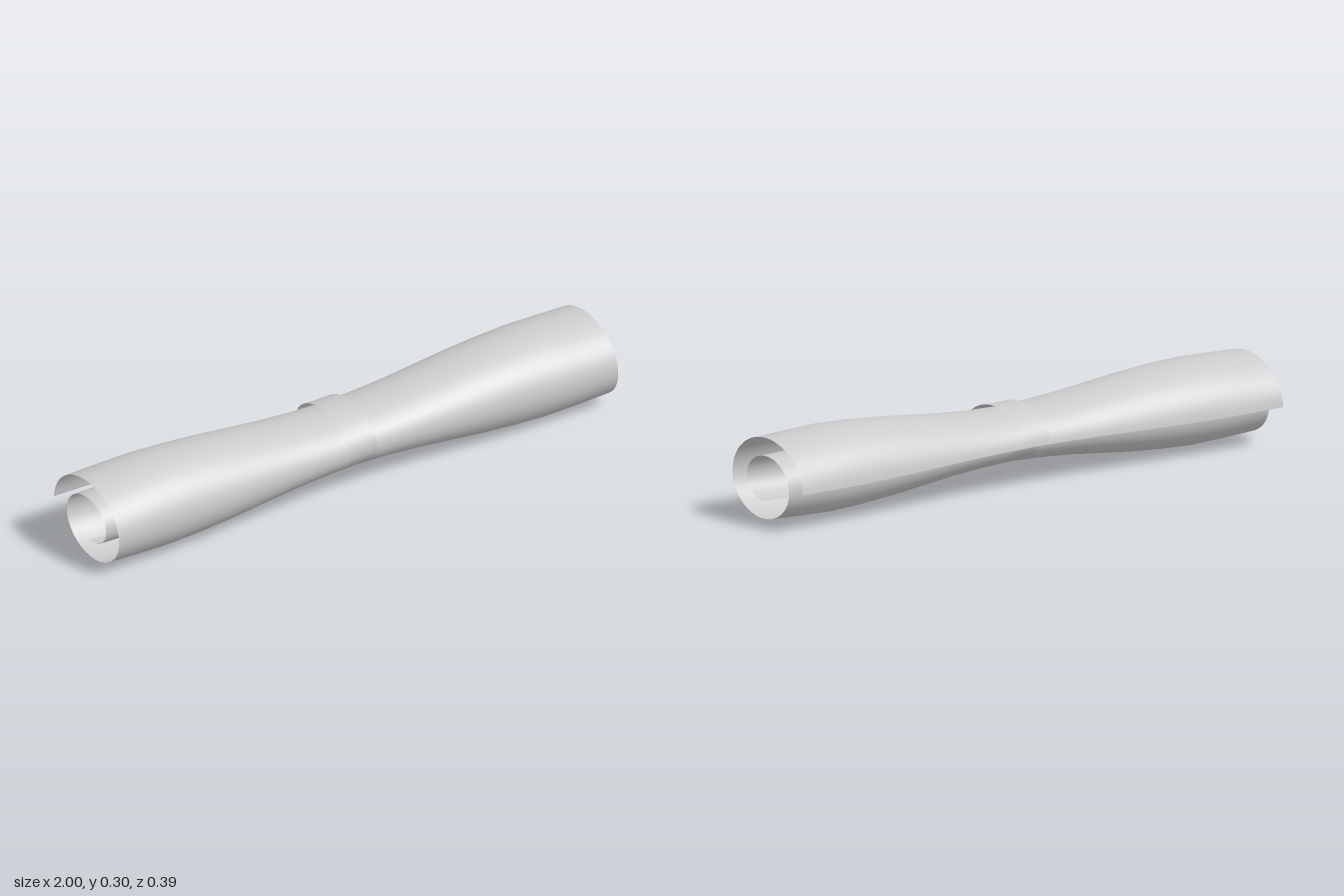
import * as THREE from 'three';

const TURNS = 1.75, AROUND = 84;
const CENTRE_Z = 0.02, CENTRE_Y = 0.135, MID_Z = 0.023, MID_Y = 0.1535;

// Archimedean spiral cross-section, from the loose outer flap to the inner end
function spiral(u) {
  const a = u * TURNS * Math.PI * 2;
  const r = THREE.MathUtils.lerp(0.215, 0.077, u);
  return { z: CENTRE_Z - r * Math.cos(a), y: CENTRE_Y + 0.795 * r * Math.sin(a) };
}

// Even spline through scale factors at x = -1, -0.75 ... 1
function scaleAlong(half) {
  const all = [...half.slice(1).reverse(), ...half];
  const curve = new THREE.SplineCurve(all.map((k, i) => new THREE.Vector2(-1 + i * 0.25, k)));
  return x => curve.getPoint((x + 1) / 2).y;
}
const heightScale = scaleAlong([0.664, 0.766, 0.964, 1.073, 1.0]);
const depthScale = scaleAlong([0.786, 0.83, 0.915, 0.98, 1.0]);

// Rolled sheet between -halfLength and +halfLength
function rolledSheet(name, halfLength, rows, grow, liftY, shiftZ) {
  const geo = new THREE.PlaneGeometry(1, 1, rows, AROUND);
  const pos = geo.attributes.position;
  for (let i = 0; i < pos.count; i++) {
    const x = pos.getX(i) * 2 * halfLength;
    const p = spiral(0.5 - pos.getY(i));
    pos.setXYZ(i, x,
      MID_Y + liftY + (p.y - MID_Y) * heightScale(x) * grow,
      MID_Z + shiftZ + (p.z - MID_Z) * depthScale(x) * grow);
  }
  geo.computeVertexNormals();
  const mesh = new THREE.Mesh(geo, new THREE.MeshStandardMaterial({
    color: 0xcccccc, side: THREE.DoubleSide }));
  mesh.name = name;
  return mesh;
}

export function createModel() {
  const group = new THREE.Group();
  group.name = 'rolledScroll';
  // Sheet pinched at the middle
  group.add(rolledSheet('scrollSheet', 1, 16, 1, 0, 0));
  // Narrow band wound with the sheet, slightly larger and raised
  group.add(rolledSheet('tieBand', 0.055, 2, 1.055, 0.008, -0.002));
  return group;
}
